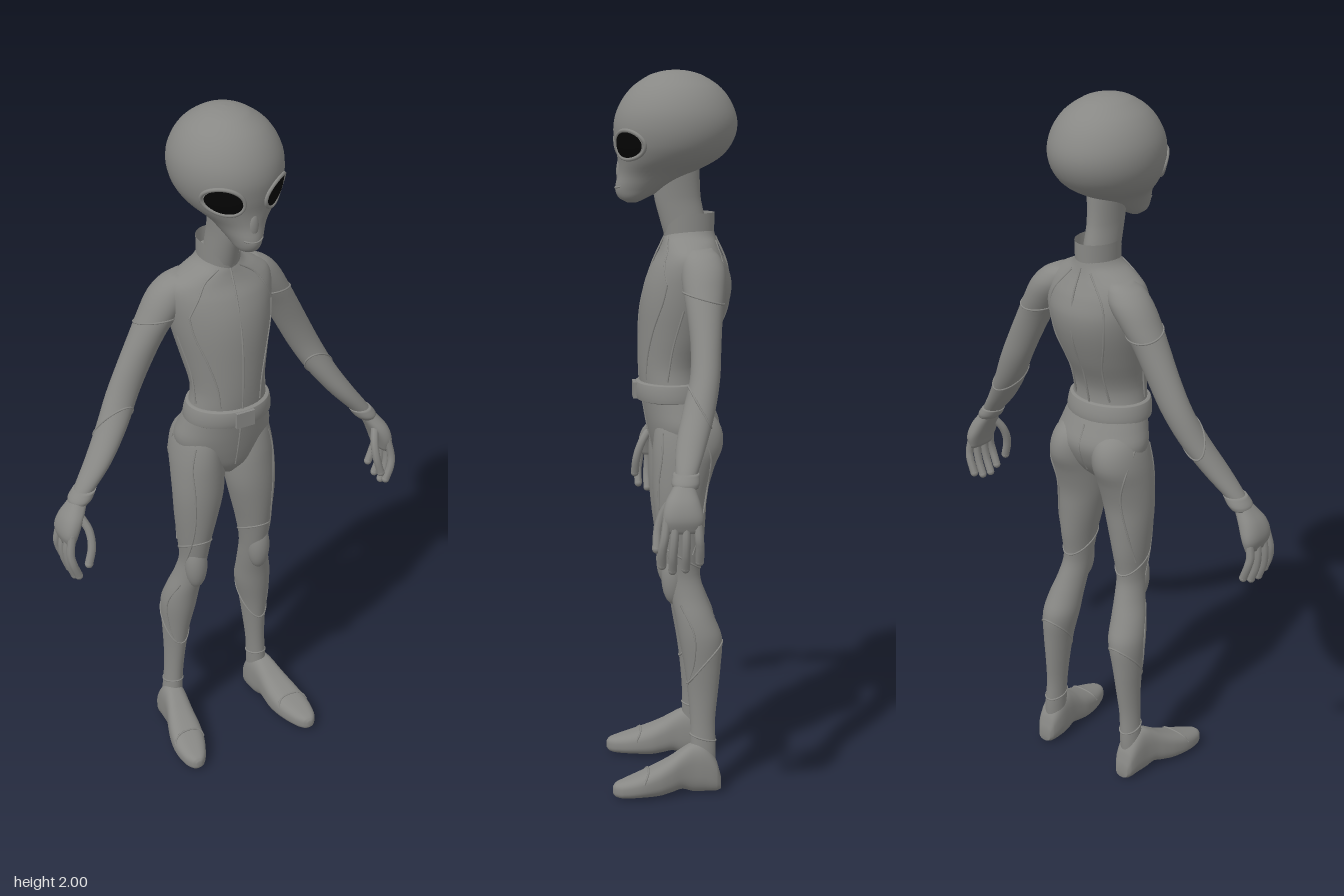
import * as THREE from 'three';

const mat = (name, color, side = THREE.FrontSide) =>
  Object.assign(new THREE.MeshStandardMaterial({ color, side }), { name });

// Cross-sections, bottom to top: [y, centre x, half width, front z, back z]
const HEAD = [[1.643, 0, .012, .125, .095], [1.655, 0, .03, .146, .07], [1.68, 0, .045, .156, .02],
  [1.72, 0, .072, .149, -.05], [1.76, 0, .115, .149, -.125], [1.8, 0, .14, .156, -.162],
  [1.85, 0, .15, .16, -.178], [1.9, 0, .142, .147, -.168], [1.95, 0, .112, .113, -.135],
  [1.985, 0, .065, .063, -.083], [1.997, 0, .03, .023, -.043], [2, 0, .002, -.008, -.012]];
const NECK = [[1.53, 0, .045, .015, -.1], [1.6, 0, .042, .035, -.09], [1.66, 0, .04, .05, -.078], [1.76, 0, .046, .06, -.075]];
const TORSO = [[.905, 0, .025, .02, -.05], [.94, 0, .08, .047, -.088], [.98, 0, .125, .06, -.115],
  [1.03, 0, .143, .071, -.13], [1.08, 0, .131, .08, -.112], [1.14, 0, .114, .09, -.087],
  [1.2, 0, .107, .094, -.088], [1.28, 0, .122, .093, -.125], [1.36, 0, .14, .088, -.155],
  [1.42, 0, .15, .077, -.164], [1.47, 0, .154, .058, -.152], [1.505, 0, .146, .038, -.136],
  [1.53, 0, .11, .028, -.125], [1.55, 0, .07, .022, -.119], [1.575, 0, .05, .01, -.113]];
const BELT = [[1.098, 0, .118, .09, -.09], [1.102, 0, .127, .102, -.102], [1.148, 0, .121, .102, -.094], [1.152, 0, .113, .09, -.085]];
const ARM = [[.95, .455, .022, .022, -.022], [.97, .445, .028, .026, -.03], [1.04, .388, .037, .02, -.06],
  [1.12, .332, .043, -.002, -.088], [1.2, .288, .047, -.025, -.105], [1.28, .247, .049, -.03, -.112],
  [1.36, .205, .051, -.024, -.12], [1.42, .168, .057, -.016, -.13], [1.47, .135, .062, -.014, -.133],
  [1.505, .112, .052, -.02, -.12], [1.525, .095, .03, -.035, -.1]];
const CUFF = [[.943, .463, .027, .033, -.032], [.956, .455, .033, .037, -.037], [.978, .44, .032, .031, -.036]];
const PALM = [[.835, .507, .014, .052, -.034], [.87, .505, .025, .063, -.043], [.91, .49, .029, .056, -.035],
  [.945, .468, .025, .035, -.025], [.965, .455, .022, .025, -.025]];
const LEG = [[.07, .147, .028, -.04, -.11], [.12, .145, .028, -.04, -.112], [.2, .14, .027, -.04, -.11],
  [.28, .135, .031, -.034, -.118], [.36, .131, .039, -.024, -.126], [.44, .124, .05, -.01, -.13],
  [.5, .117, .048, 0, -.108], [.56, .106, .041, .014, -.085], [.62, .099, .038, .028, -.07],
  [.7, .096, .048, .043, -.08], [.78, .09, .062, .054, -.086], [.85, .084, .072, .06, -.092],
  [.92, .08, .075, .061, -.112], [.98, .077, .073, .059, -.135], [1.04, .069, .066, .05, -.125], [1.09, .06, .045, .03, -.075]];
// Feet run heel to toe; the last two numbers are sole and instep, turned upright afterwards
const FOOT = [[-.125, .15, .02, -.005, -.045], [-.112, .15, .03, 0, -.09], [-.08, .15, .036, 0, -.135],
  [-.045, .153, .037, -.002, -.14], [-.015, .158, .039, -.012, -.125], [.015, .164, .044, -.006, -.106], [.05, .17, .049, 0, -.088],
  [.1, .179, .048, 0, -.067], [.15, .187, .034, 0, -.05], [.172, .189, .02, -.004, -.042], [.18, .19, .008, -.012, -.033]];

// Smoothly interpolated section at t
function sectionAt(S, t) {
  let i = 0;
  while (i < S.length - 2 && t > S[i + 1][0]) i++;
  const h = S[i + 1][0] - S[i][0], u = (t - S[i][0]) / h;
  const slope = (j, k) => {
    const a = S[Math.max(j - 1, 0)], b = S[Math.min(j + 1, S.length - 1)];
    return (b[k] - a[k]) / (b[0] - a[0]);
  };
  return [1, 2, 3, 4].map(k => S[i][k] * (1 + 2 * u) * (1 - u) ** 2 + S[i + 1][k] * u * u * (3 - 2 * u)
    + h * slope(i, k) * u * (1 - u) ** 2 + h * slope(i + 1, k) * u * u * (u - 1));
}
// Point on a lofted surface; angle PI/2 is the front
function surfacePoint(S, t, angle, n = 2, size = 1) {
  const [cx, hw, zf, zb] = sectionAt(S, t);
  const p = v => Math.sign(v) * Math.abs(v) ** (2 / n) * size;
  return new THREE.Vector3(cx + hw * p(Math.cos(angle)), t, (zf + zb) / 2 + (zf - zb) / 2 * p(Math.sin(angle)));
}
// Surface over rows and columns; closed joins the last column to the first
function grid(rows, cols, fn, closed = true) {
  const pos = [], idx = [], w = closed ? cols : cols + 1;
  for (let i = 0; i <= rows; i++) for (let j = 0; j < w; j++) pos.push(...fn(i, j / cols).toArray());
  for (let i = 0; i < rows; i++) for (let j = 0; j < cols; j++) {
    const k = (j + 1) % w, a = i * w + j, b = i * w + k;
    idx.push(a, a + w, b, b, a + w, b + w);
  }
  const g = new THREE.BufferGeometry();
  g.setAttribute('position', new THREE.Float32BufferAttribute(pos, 3));
  g.setIndex(idx);
  g.computeVertexNormals();
  return g;
}
function loft(S, side = 1, n = 2) {
  const T = S.map(s => [s[0], s[1] * side, ...s.slice(2)]), ts = [];
  for (let i = 0; i < T.length - 1; i++)
    for (let k = 0; k < 4; k++) ts.push(T[i][0] + (T[i + 1][0] - T[i][0]) * k / 4);
  ts.push(T[T.length - 1][0]);
  const last = ts.length - 1;
  return grid(last + 2, 40, (i, v) => surfacePoint(T, ts[Math.min(Math.max(i - 1, 0), last)],
    v * Math.PI * 2, n, i === 0 || i === last + 2 ? 0 : 1));
}

export function createModel() {
  const root = new THREE.Group();
  root.name = 'alienFigure';
  const grey = mat('bodyGrey', 0x888885, THREE.DoubleSide), black = mat('eyeBlack', 0x040404);
  const add = (name, geo, m = grey) => {
    const mesh = new THREE.Mesh(geo, m);
    mesh.name = name;
    root.add(mesh);
    return mesh;
  };
  const tube = (pts, r, closed = false) =>
    new THREE.TubeGeometry(new THREE.CatmullRomCurve3(pts, closed), 40, r, 8, closed);
  // Thin raised seam through [t, angle] pairs on a lofted part
  const seam = (name, S, side, list, closed = false) =>
    add(name, tube(list.map(([t, a]) => {
      const p = surfacePoint(S, t, a);
      p.x *= side;
      return p;
    }), .0028, closed));
  const band = (name, S, side, t, tilt = 0) => seam(name, S, side,
    Array.from({ length: 16 }, (_, i) => [t + tilt * Math.sin(i * Math.PI / 8), i * Math.PI / 8]), true);

  // Head, neck and trunk
  add('head', loft(HEAD));
  add('neck', loft(NECK));
  add('torso', loft(TORSO));
  add('belt', loft(BELT));
  add('mouth', tube([-.6, -.3, 0, .3, .6].map(a => surfacePoint(HEAD, 1.683 + a * a * .012, Math.PI / 2 + a)), .0025));
  const nose = add('nose', new THREE.SphereGeometry(1, 16, 12));
  nose.scale.set(.014, .034, .009);
  nose.position.set(0, 1.727, .144);
  add('buckle', new THREE.BoxGeometry(.056, .046, .012)).position.set(0, 1.125, .104);

  // Standing collar, notched at the throat
  add('collar', grid(6, 48, (i, v) => {
    const a = v * Math.PI * 2, flare = 1 + .03 * i / 6;
    const h = .072 * Math.min(1, .12 + 1.5 * Math.sin(a / 2));
    return new THREE.Vector3(.056 * flare * Math.sin(a), 1.543 + h * i / 6, -.047 + .068 * flare * Math.cos(a));
  }, false));

  // Trunk seams
  const F = Math.PI / 2;
  seam('frontSeam', TORSO, 1, [[.95, F], [1.02, F], [1.09, F]]);
  seam('zipSeam', TORSO, 1, [[1.15, F], [1.25, F], [1.36, F], [1.47, F], [1.55, F]]);
  seam('backSeam', TORSO, 1, [[1.15, -F], [1.25, -F], [1.36, -F], [1.47, -F], [1.55, -F]]);
  seam('seatSeam', TORSO, 1, [[.95, -F], [1.02, -F], [1.09, -F]]);

  for (const s of [1, -1]) {
    const side = s > 0 ? 'left' : 'right';
    const vec = (x, y, z) => new THREE.Vector3(x * s, y, z);

    // Slanted eye laid over the face, with a raised lid around it
    const eyePoint = (r, a, lift) => {
      const c = .043 * r * Math.cos(a), d = .033 * r * Math.sin(a), tilt = .5 * s;
      const x = .076 * s + c * Math.cos(tilt) - d * Math.sin(tilt);
      const y = 1.802 + c * Math.sin(tilt) + d * Math.cos(tilt);
      const [, hw, zf, zb] = sectionAt(HEAD, y);
      const k = Math.sqrt(Math.max(0, 1 - (x / hw) ** 2));
      return new THREE.Vector3(x, y, (zf + zb) / 2 + (zf - zb) / 2 * k + lift);
    };
    add(side + 'Eye', grid(8, 32, (i, v) => eyePoint(i / 8, v * Math.PI * 2, .003 + .005 * (1 - (i / 8) ** 2))), black);
    add(side + 'EyeLid', tube(Array.from({ length: 24 }, (_, i) => eyePoint(1.1, i * Math.PI / 12, .001)), .0055, true));

    // Arm, cuff and hand
    add(side + 'Arm', loft(ARM, s));
    add(side + 'Cuff', loft(CUFF, s));
    add(side + 'Palm', loft(PALM, s, 2.4));
    const digit = (name, pts, r) => {
      add(name, tube(pts, r));
      for (const p of [pts[0], pts[pts.length - 1]])
        add(name + 'End', new THREE.SphereGeometry(r, 12, 8)).position.copy(p);
    };
    [-.026, .003, .03, .052].forEach((z, i) => {
      const len = [.022, .004, 0, .014][i];
      digit(side + 'Finger', [vec(.507, .875, z), vec(.517, .82, z * 1.15), vec(.513, .775 + len, z * 1.25),
        vec(.498, .733 + len, z * 1.25)], .0115);
    });
    digit(side + 'Thumb', [vec(.474, .92, .032), vec(.459, .88, .057), vec(.459, .835, .072), vec(.472, .785, .077)], .012);

    // Leg, knee pad and shoe
    add(side + 'Leg', loft(LEG, s));
    const knee = add(side + 'KneePad', new THREE.SphereGeometry(1, 24, 16));
    knee.scale.set(.033, .078, .034);
    knee.position.set(.103 * s, .61, .004);
    add(side + 'Shoe', loft(FOOT, s, 2.7).rotateX(Math.PI / 2));
    add(side + 'ToeSeam', tube([.25, .7, 1.1, F, 2.04, 2.44, 2.9].map(a => {
      const p = surfacePoint(FOOT, .1 - .02 * Math.sin(a), -a, 2.7);
      return vec(p.x, -p.z, p.y);
    }), .003));

    // Suit seams
    seam(side + 'ChestSeam', TORSO, s, [[1.16, .98], [1.22, .9], [1.3, .78], [1.38, .62], [1.43, .6]]);
    seam(side + 'YokeSeam', TORSO, s, [[1.55, 1.1], [1.52, .95], [1.48, .85], [1.43, .6]]);
    seam(side + 'BackPanelSeam', TORSO, s, [[1.16, -1], [1.25, -1.05], [1.36, -.9], [1.46, -.95], [1.54, -1.2]]);
    seam(side + 'FlankSeam', TORSO, s, [[1.16, .2], [1.25, .15], [1.36, .1]]);
    band(side + 'ShoulderSeam', ARM, s, 1.4, .015);
    band(side + 'ForearmSeam', ARM, s, 1.13, .05);
    seam(side + 'ThighSeam', LEG, s, [[1.02, .9], [.96, .85], [.88, .95], [.78, 1.0], [.7, .85], [.62, .4]]);
    seam(side + 'HipSeam', LEG, s, [[1.03, -.2], [.96, -.7], [.88, -1.1], [.76, -.9], [.68, -.5]]);
    band(side + 'KneeSeam', LEG, s, .67, .035);
    band(side + 'CalfSeam', LEG, s, .37, -.06);
    band(side + 'AnkleSeam', LEG, s, .155, .01);
    seam(side + 'ShinSeam', LEG, s, [[.54, .6], [.46, .3], [.38, .5], [.31, 1.2]]);
  }
  return root;
}
